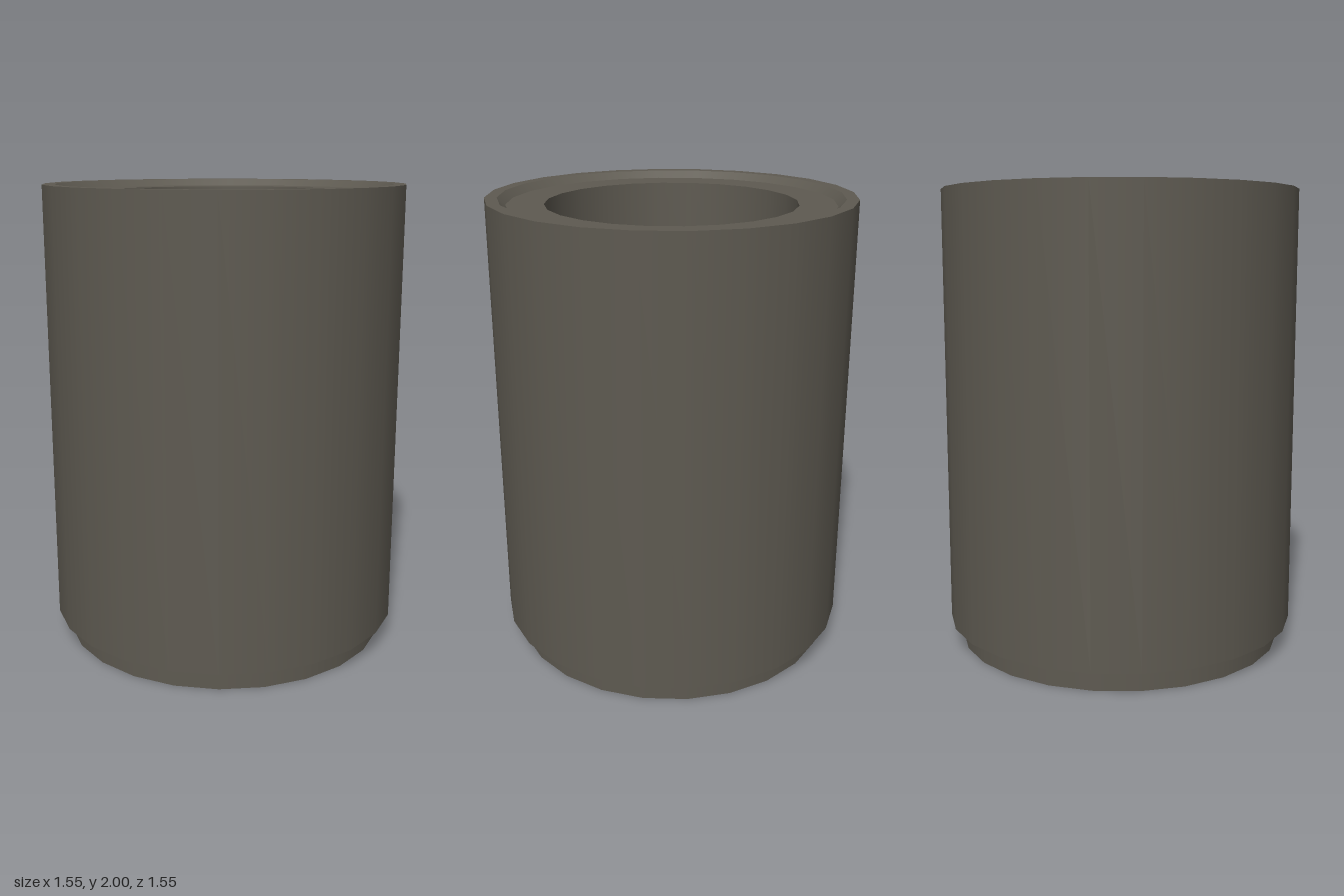
import * as THREE from 'three';
import { mergeGeometries } from 'three/addons/utils/BufferGeometryUtils.js';

const SIDES = 24;

// Revolves each profile segment on its own: smooth around, sharp between bands.
function turned(name, material, profile) {
  const bands = [];
  for (let i = 0; i < profile.length - 1; i++) {
    const pair = [profile[i], profile[i + 1]].map(([r, y]) => new THREE.Vector2(r, y));
    bands.push(new THREE.LatheGeometry(pair, SIDES));
  }
  const mesh = new THREE.Mesh(mergeGeometries(bands), material);
  mesh.name = name;
  return mesh;
}

function flat(name, color) {
  const material = new THREE.MeshStandardMaterial({ color });
  material.name = name;
  return material;
}

export function createModel() {
  const shell = flat('warm grey', 0x5e5a51);
  const silver = flat('light silver', 0xb8b8bc);
  const black = flat('black', 0x0d0d0d);

  const group = new THREE.Group();
  group.name = 'cylindricalHousing';
  group.add(
    // Narrower base with closed underside
    turned('foot', shell, [[0, 0], [0.72, 0], [0.72, 0.095]]),
    // Exposed step under the outer wall
    turned('undersideRing', silver, [[0.72, 0.095], [0.775, 0.095]]),
    // Outer wall, rim, bevel, ledge and bore
    turned('body', shell, [
      [0.775, 0.095], [0.775, 2], [0.723, 2], [0.69, 1.97], [0.532, 1.97], [0.532, 1.63],
    ]),
    // Dark bottom of the bore
    turned('boreFloor', black, [[0.532, 1.63], [0, 1.63]]),
  );
  return group;
}
